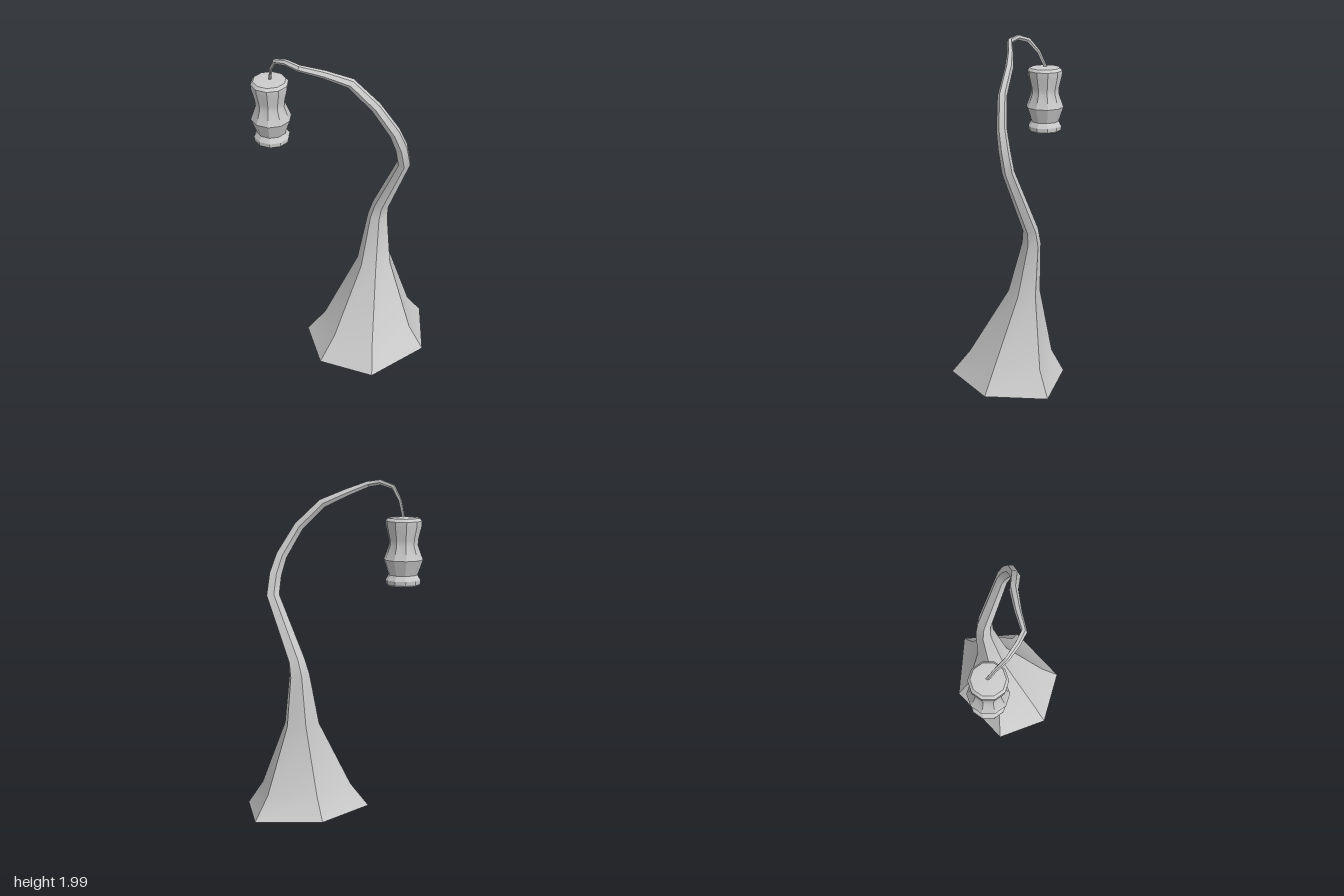
import * as THREE from 'three';
import { toCreasedNormals } from 'three/addons/utils/BufferGeometryUtils.js';

const material = new THREE.MeshStandardMaterial({ color: 0xcccccc, side: THREE.DoubleSide });

// Uneven six-sided outline of the stem (x, z around its centre)
const outline = [[0.425, 0.09], [0.145, 0.33], [-0.245, 0.245], [-0.36, -0.075], [-0.185, -0.34], [0.22, -0.254]];

// Stem stations: x, y, z, scale of the outline
const stations = [
  [-0.035, 0.006, 0.154, 1], [-0.015, 0.15, 0.149, 0.73], [0.069, 0.56, 0.119, 0.275],
  [0.115, 0.87, 0.105, 0.16], [0.122, 0.955, 0.12, 0.132], [0.115, 1.33, 0.288, 0.105],
  [0.085, 1.45, 0.288, 0.1], [0.045, 1.56, 0.27, 0.09], [-0.03, 1.73, 0.195, 0.08],
  [-0.1, 1.865, 0.075, 0.073], [-0.2, 1.925, -0.03, 0.058], [-0.3, 1.972, -0.12, 0.048],
  [-0.315, 1.985, -0.2, 0.044], [-0.313, 1.96, -0.285, 0.038], [-0.285, 1.885, -0.345, 0.029],
  [-0.26, 1.785, -0.383, 0.025],
];

// Sweeps the outline along the stations, turning each ring with the path
function buildStem() {
  const centres = stations.map(([x, y, z]) => new THREE.Vector3(x, y, z));
  const positions = [];
  const index = [];
  const n = outline.length;
  const turn = new THREE.Quaternion();
  let previous = new THREE.Vector3(0, 1, 0);
  centres.forEach((centre, i) => {
    if (i > 2) {
      const before = centre.clone().sub(centres[i - 1]).normalize();
      const after = i < centres.length - 1 ? centres[i + 1].clone().sub(centre).normalize() : before;
      const tangent = before.clone().add(after).normalize();
      turn.premultiply(new THREE.Quaternion().setFromUnitVectors(previous, tangent));
      previous = tangent;
    }
    const s = stations[i][3];
    for (const [x, z] of outline) {
      const p = new THREE.Vector3(x * s, 0, z * s).applyQuaternion(turn).add(centre);
      positions.push(p.x, p.y, p.z);
    }
    if (i === 0) return;
    for (let k = 0; k < n; k++) {
      const a = (i - 1) * n + k;
      const b = (i - 1) * n + ((k + 1) % n);
      index.push(a, a + n, b, b, a + n, b + n);
    }
  });
  const geometry = new THREE.BufferGeometry();
  geometry.setAttribute('position', new THREE.Float32BufferAttribute(positions, 3));
  geometry.setIndex(index);
  return toCreasedNormals(geometry, 0.6);
}

// Ten-sided hanging lantern, turned from a profile (radius, height)
function buildLantern() {
  const profile = [
    [0, 1.385], [0.09, 1.39], [0.102, 1.4], [0.104, 1.425], [0.086, 1.455], [0.117, 1.545],
    [0.086, 1.63], [0.088, 1.665], [0.106, 1.74], [0.108, 1.77], [0.094, 1.787], [0, 1.795],
  ].map(([r, y]) => new THREE.Vector2(r, y));
  return toCreasedNormals(new THREE.LatheGeometry(profile, 10, Math.PI / 2), 0.5);
}

export function createModel() {
  const group = new THREE.Group();
  group.name = 'hangingLamp';

  // Hollow flared foot running up into the curved arm
  const stem = new THREE.Mesh(buildStem(), material);
  stem.name = 'stem';

  const lantern = new THREE.Mesh(buildLantern(), material);
  lantern.name = 'lantern';
  lantern.position.set(-0.265, 0, -0.382);

  group.add(stem, lantern);
  return group;
}
